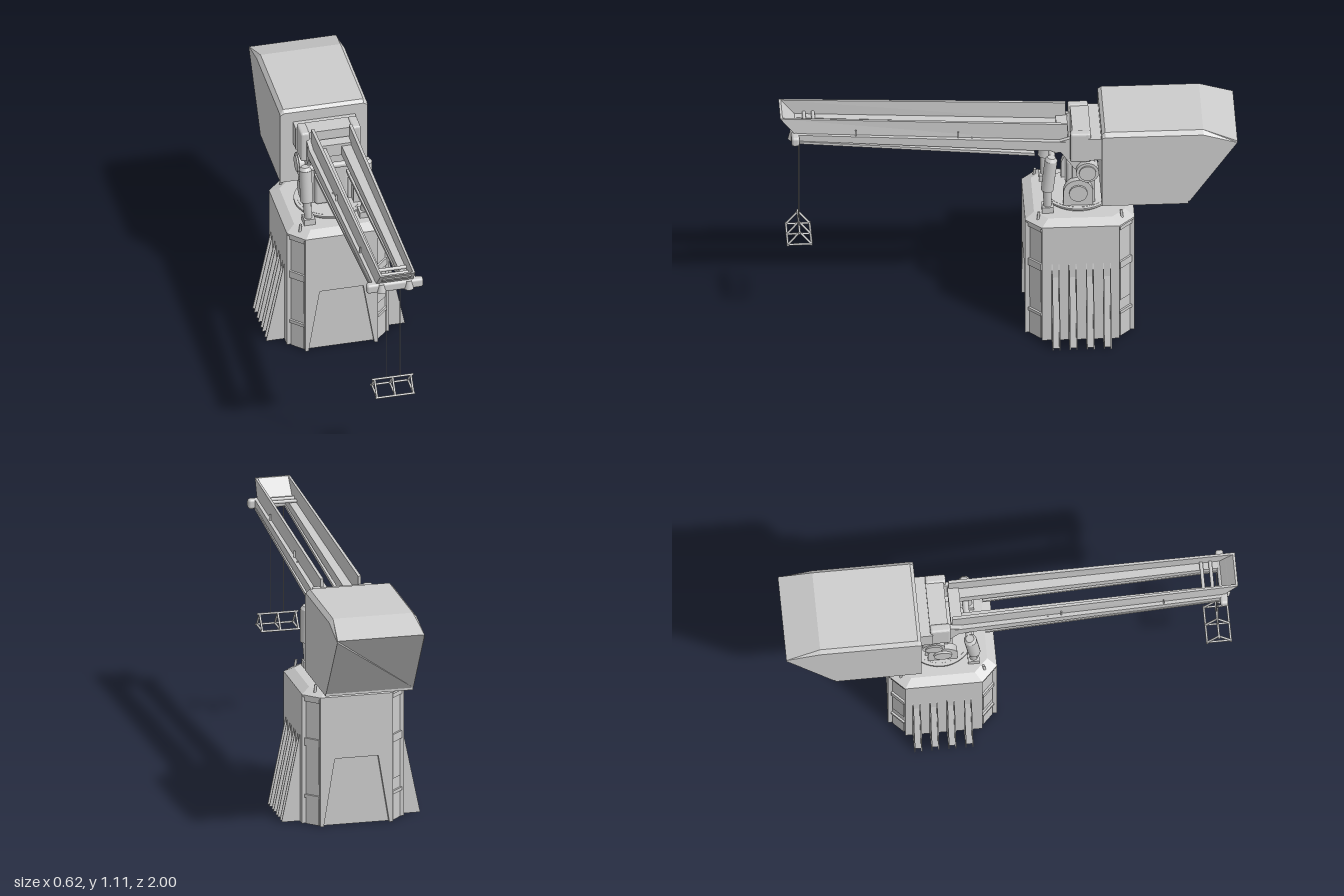
import * as THREE from 'three';
import { RoundedBoxGeometry } from 'three/addons/geometries/RoundedBoxGeometry.js';

const mat = new THREE.MeshStandardMaterial({ color: 0xcccccc, flatShading: true, side: THREE.DoubleSide });
const smooth = new THREE.MeshStandardMaterial({ color: 0xcccccc });
const V = (x, y, z) => new THREE.Vector3(x, y, z);

function add(parent, name, geo, x = 0, y = 0, z = 0, m = mat) {
  const mesh = new THREE.Mesh(geo, m);
  mesh.name = name;
  mesh.position.set(x, y, z);
  parent.add(mesh);
  return mesh;
}
const box = (p, name, w, h, d, x, y, z) => add(p, name, new THREE.BoxGeometry(w, h, d), x, y, z);

// Cylinder between two points
function rod(p, name, a, b, r, r2 = r, seg = 16) {
  const mesh = add(p, name, new THREE.CylinderGeometry(r2, r, a.distanceTo(b), seg), 0, 0, 0, smooth);
  mesh.position.copy(a).lerp(b, 0.5);
  mesh.quaternion.setFromUnitVectors(V(0, 1, 0), b.clone().sub(a).normalize());
  return mesh;
}

// Solid through equal-length rings of [x, y, z], capped at both ends
function loft(rings) {
  const pos = [], n = rings[0].length;
  const tri = (a, b, c) => pos.push(...a, ...b, ...c);
  for (let k = 0; k < rings.length - 1; k++) {
    for (let i = 0; i < n; i++) {
      const j = (i + 1) % n, A = rings[k], B = rings[k + 1];
      tri(A[i], A[j], B[j]);
      tri(A[i], B[j], B[i]);
    }
  }
  const first = rings[0], last = rings[rings.length - 1];
  for (let i = 1; i < n - 1; i++) {
    tri(first[0], first[i + 1], first[i]);
    tri(last[0], last[i], last[i + 1]);
  }
  const g = new THREE.BufferGeometry();
  g.setAttribute('position', new THREE.Float32BufferAttribute(pos, 3));
  g.computeVertexNormals();
  return g;
}

// Four-sided bar along z; each end is [z, xInner, xOuter, yBottom, yTop]
function bar(s, ends) {
  return loft(ends.map(([z, a, b, y0, y1]) => {
    const r = [[s * a, y0, z], [s * b, y0, z], [s * b, y1, z], [s * a, y1, z]];
    return s > 0 ? r : r.reverse();
  }));
}

const shape = pts => new THREE.Shape(pts.map(p => new THREE.Vector2(...p)));
const extrude = (s, depth) => new THREE.ExtrudeGeometry(s, { depth, bevelEnabled: false, curveSegments: 16 });

function makePedestal() {
  const g = new THREE.Group();
  g.name = 'pedestal';
  g.position.z = -0.31;
  // Front and back walls with a recessed trapezoid
  const wall = shape([[-0.163, 0], [-0.148, 0], [-0.098, 0.31], [0.098, 0.31], [0.148, 0],
    [0.163, 0], [0.163, 0.595], [-0.163, 0.595]]);
  for (const s of [1, -1]) {
    const side = new THREE.Group();
    side.name = 'endWall';
    side.rotation.y = s > 0 ? 0 : Math.PI;
    add(side, 'wallPlate', extrude(wall, 0.02), 0, 0, 0.22);
    box(side, 'recessPanel', 0.31, 0.33, 0.005, 0, 0.165, 0.2185);
    g.add(side);
    box(g, 'sideWall', 0.02, 0.595, 0.34, s * 0.22, 0.2975, 0);

    // Tapered channel-shaped buttresses
    const fin = shape([[0, 0], [0.082, 0], [0, 0.4]]);
    const web = shape([[0, 0], [0.066, 0], [0, 0.33]]);
    for (const z of [-0.115, -0.04, 0.035, 0.11]) {
      const b = new THREE.Group();
      b.name = 'buttress';
      for (const dz of [-0.0175, 0.0125]) add(b, 'buttressPlate', extrude(fin, 0.005), 0, 0, dz);
      add(b, 'buttressWeb', extrude(web, 0.026), 0, 0, -0.013);
      b.position.set(s * 0.23, 0, s > 0 ? z : -0.005 + z);
      b.rotation.y = s > 0 ? 0 : Math.PI;
      g.add(b);
    }
    // Recessed corner columns with bands
    for (const t of [1, -1]) {
      const c = new THREE.Group();
      c.name = 'cornerColumn';
      c.position.set(s * 0.187, 0, t * 0.195);
      c.rotation.y = Math.atan2(s, t);
      box(c, 'columnPlate', 0.07, 0.595, 0.012, 0, 0.2975, -0.006);
      for (const [y, h] of [[0.378, 0.035], [0.128, 0.015], [0.58, 0.03]]) {
        box(c, 'columnBand', 0.074, h, 0.012, 0, y, 0.003);
      }
      box(c, 'columnPad', 0.064, 0.17, 0.008, 0, 0.275, 0);
      box(c, 'columnPad', 0.064, 0.12, 0.008, 0, 0.06, 0);
      g.add(c);
      rod(g, 'cornerPost', V(s * 0.175, 0.6, t * 0.185), V(s * 0.17, 0.64, t * 0.18), 0.006);
    }
  }
  // Bevelled octagonal deck
  const oct = (x, z, c, y) => [[x, y, z - c], [x, y, c - z], [x - c, y, -z], [c - x, y, -z],
    [-x, y, c - z], [-x, y, z - c], [c - x, y, z], [x - c, y, z]];
  add(g, 'deck', loft([oct(0.23, 0.24, 0.07, 0.585), oct(0.23, 0.24, 0.07, 0.594), oct(0.19, 0.2, 0.06, 0.618)]));
  return g;
}

function makeTurret() {
  const g = new THREE.Group();
  g.name = 'turret';
  add(g, 'turntable', new THREE.CylinderGeometry(0.14, 0.14, 0.03, 40), 0, 0.625, -0.31, smooth);
  add(g, 'turntableRim', new THREE.CylinderGeometry(0.155, 0.155, 0.008, 40), 0, 0.635, -0.31, smooth);
  box(g, 'turretBody', 0.2, 0.26, 0.1, 0, 0.77, -0.33);
  add(g, 'frontHousing', new RoundedBoxGeometry(0.15, 0.2, 0.04, 3, 0.015), 0, 0.74, -0.275, smooth);
  // Rounded pivot brackets
  const br = new THREE.Shape();
  br.moveTo(-0.065, 0);
  br.lineTo(0.065, 0);
  br.lineTo(0.065, 0.07);
  br.absarc(0, 0.07, 0.065, 0, Math.PI);
  br.closePath();
  for (const s of [1, -1]) {
    add(g, 'pivotBracket', extrude(br, 0.03), s * 0.11 - 0.015, 0.635, -0.305).rotation.y = Math.PI / 2;
    rod(g, 'pivotHub', V(s * 0.12, 0.705, -0.305), V(s * 0.135, 0.705, -0.305), 0.04, 0.04, 24);
    rod(g, 'drumEnd', V(s * 0.07, 0.815, -0.345), V(s * 0.135, 0.815, -0.345), 0.05, 0.05, 28);
    rod(g, 'drumCap', V(s * 0.135, 0.815, -0.345), V(s * 0.142, 0.815, -0.345), 0.037, 0.037, 28);
    // Lifting cylinder
    const lift = new THREE.Group();
    lift.name = 'liftCylinder';
    const foot = V(s * 0.125, 0.625, -0.17), mid = V(s * 0.134, 0.735, -0.168), top = V(s * 0.136, 0.89, -0.185);
    rod(lift, 'piston', foot, mid, 0.018);
    rod(lift, 'barrel', mid, top, 0.028, 0.028, 24);
    rod(lift, 'barrelCap', top, V(s * 0.136, 0.905, -0.187), 0.028, 0.018, 24);
    box(lift, 'foot', 0.05, 0.03, 0.05, s * 0.125, 0.632, -0.17);
    g.add(lift);
    // Slanted arm from the body to the boom
    add(g, 'boomArm', extrude(shape([[-0.2, 0.91], [-0.23, 0.91], [-0.29, 0.82], [-0.35, 0.82], [-0.33, 1], [-0.2, 0.96]]), 0.02),
      s * 0.1 + 0.01, 0, 0).rotation.y = -Math.PI / 2;
    add(g, 'yokeCheek', new RoundedBoxGeometry(0.04, 0.15, 0.09, 2, 0.01), s * 0.115, 0.945, -0.315);
  }
  rod(g, 'liftAxle', V(-0.14, 0.89, -0.19), V(0.14, 0.89, -0.19), 0.014);
  box(g, 'yoke', 0.2, 0.14, 0.08, 0, 0.945, -0.32);
  box(g, 'yokeConnector', 0.28, 0.11, 0.06, 0, 0.94, -0.38);
  return g;
}

function makeCounterweight() {
  const g = new THREE.Group();
  g.name = 'counterweight';
  const ring = (zb, zs, ys, xt, zt, yt) => [[-0.197, 0.692, zb], [0.197, 0.692, zb], [0.197, ys, zs],
    [xt, yt, zt], [-xt, yt, zt], [-0.197, ys, zs]];
  add(g, 'ballastBox', loft([
    ring(-0.79, -1, 0.995, 0.196, -1, 1.003),
    ring(-0.79, -0.85, 1.04, 0.18, -0.85, 1.058),
    ring(-0.405, -0.42, 1.04, 0.18, -0.42, 1.058),
    ring(-0.405, -0.405, 1.035, 0.178, -0.405, 1.045)]));
  const rim = shape([[-0.197, 0.405], [0.197, 0.405], [0.197, 0.785], [-0.197, 0.785]]);
  rim.holes.push(shape([[-0.182, 0.42], [-0.182, 0.77], [0.182, 0.77], [0.182, 0.42]]));
  add(g, 'bottomRim', extrude(rim, 0.013), 0, 0.68, 0).rotation.x = -Math.PI / 2;
  return g;
}

function makeBoom() {
  const g = new THREE.Group();
  g.name = 'boom';
  for (const s of [1, -1]) {
    // Lower beam, tall wall and underside rail on each side
    add(g, 'boomBeam', bar(s, [[-0.25, 0.035, 0.112, 0.915, 0.965], [0.93, 0.04, 0.098, 1.005, 1.035]]));
    add(g, 'boomWall', loft([
      [[0.078, 0.95, -0.26], [0.092, 0.95, -0.26], [0.092, 1.045, -0.26], [0.078, 1.045, -0.26]],
      [[0.072, 1.035, 0.935], [0.084, 1.035, 0.935], [0.079, 1.11, 0.998], [0.069, 1.11, 0.998]],
    ].map(r => s > 0 ? r : r.map(([x, y, z]) => [-x, y, z]).reverse())));
    add(g, 'undersideRail', bar(s, [[-0.115, 0.03, 0.113, 0.898, 0.912], [0.92, 0.036, 0.1, 0.99, 1.002]]));
    for (const [z, y] of [[0.67, 1.03], [0.22, 1.005], [0.16, 0.975]]) {
      box(g, 'wallRib', 0.008, 0.035, 0.006, s * 0.092, y, z);
    }
    // Cable guides at the tip
    rod(g, 'cableGuide', V(s * 0.062, 0.995, 0.945), V(s * 0.062, 1.035, 0.945), 0.022, 0.012);
  }
  // Flared end plate and cross members
  add(g, 'endPlate', loft([
    [[-0.084, 1.035, 0.93], [0.084, 1.035, 0.93], [0.079, 1.11, 0.99], [-0.079, 1.11, 0.99]],
    [[-0.084, 1.035, 0.94], [0.084, 1.035, 0.94], [0.079, 1.11, 1], [-0.079, 1.11, 1]]]));
  const lip = box(g, 'endPlateBar', 0.13, 0.03, 0.012, 0, 1.075, 0.97);
  lip.rotation.x = 0.7;
  add(g, 'tipCrossBeam', new RoundedBoxGeometry(0.255, 0.045, 0.035, 3, 0.012), 0, 1.014, 0.935, smooth);
  for (const z of [0.85, 0.89]) rod(g, 'tipRoller', V(-0.075, 1.04, z), V(0.075, 1.04, z), 0.008);
  box(g, 'rearCrossMember', 0.17, 0.06, 0.05, 0, 0.95, -0.24);
  return g;
}

function makeHoist() {
  const g = new THREE.Group();
  g.name = 'hoist';
  const z = 0.915, r = 0.005;
  for (const s of [1, -1]) {
    rod(g, 'cable', V(s * 0.03, 0.51, z), V(s * 0.03, 1, z), 0.0018, 0.0018, 6);
    rod(g, 'lowerBar', V(-0.093, 0.444, z + s * 0.052), V(0.085, 0.444, z + s * 0.052), r, r, 8);
  }
  rod(g, 'ridgeBar', V(-0.097, 0.508, z), V(0.09, 0.508, z), r, r, 8);
  for (const x of [-0.085, -0.004, 0.078]) {
    for (const s of [1, -1]) rod(g, 'frameStrut', V(x, 0.508, z), V(x, 0.444, z + s * 0.052), r, r, 8);
    rod(g, 'frameTie', V(x, 0.444, z - 0.052), V(x, 0.444, z + 0.052), r, r, 8);
  }
  return g;
}

export function createModel() {
  const model = new THREE.Group();
  model.name = 'pedestalCrane';
  model.add(makePedestal(), makeTurret(), makeCounterweight(), makeBoom(), makeHoist());
  return model;
}
